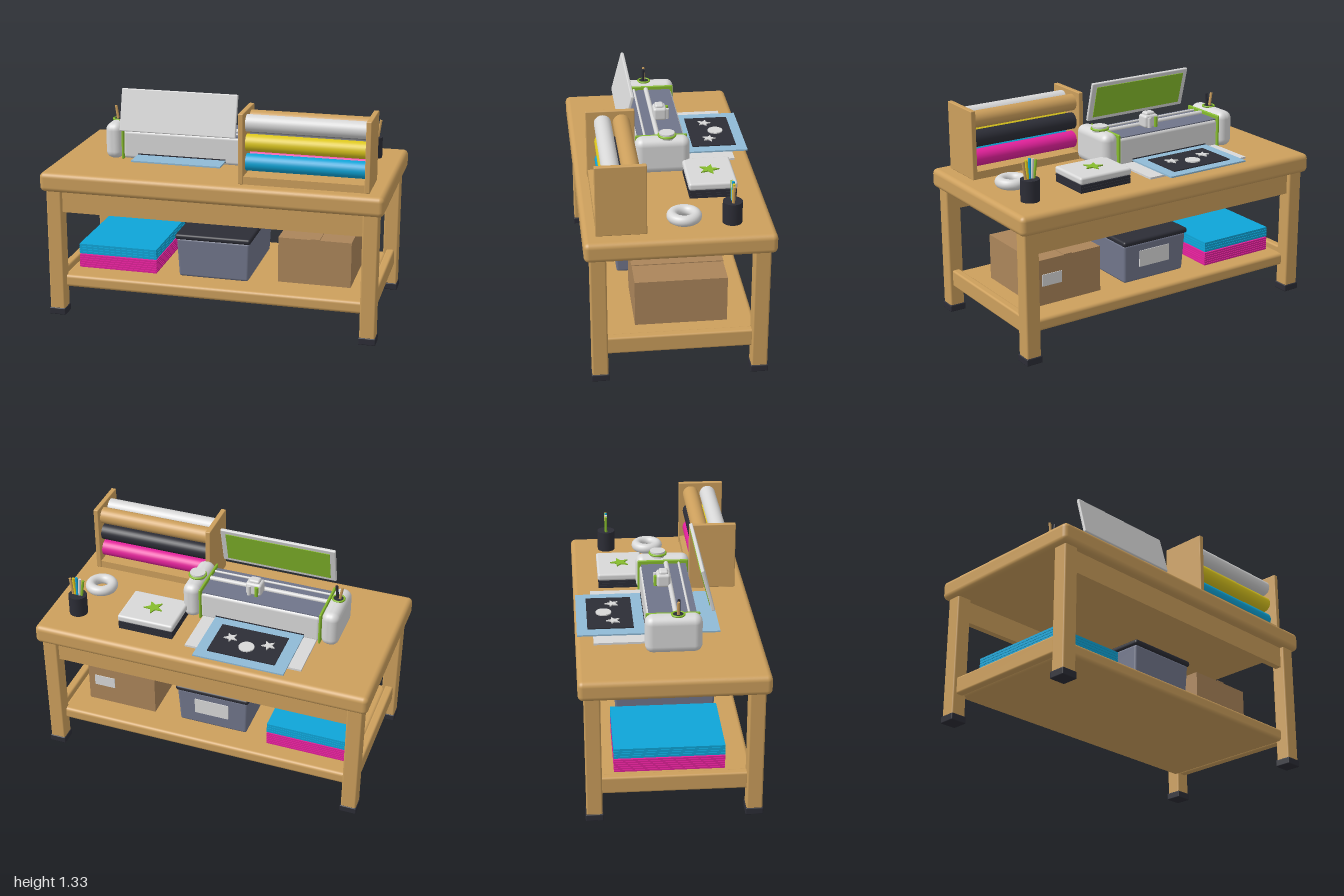
import * as THREE from 'three';
import { RoundedBoxGeometry } from 'three/addons/geometries/RoundedBoxGeometry.js';

const material = (name, color) => {
  const m = new THREE.MeshStandardMaterial({ color });
  m.name = name;
  return m;
};

export function createModel() {
  const wood = material('wood', 0xcc9f5c);
  const dark = material('charcoal', 0x2c2d36);
  const light = material('lightGrey', 0xd8d8d8);
  const green = material('green', 0x86bc2c);
  const yellow = material('yellow', 0xdec81e);
  const cyan = material('cyan', 0x0ea5d8);
  const magenta = material('magenta', 0xe3219b);
  const blue = material('matBlue', 0x8fbad6);
  const slate = material('slate', 0x70758a);
  const brown = material('cardboard', 0xab855a);

  const root = new THREE.Group();
  root.name = 'craftTable';
  let target = root;
  const group = (name) => {
    target = new THREE.Group();
    target.name = name;
    root.add(target);
    return target;
  };
  const add = (name, geometry, mat, x = 0, y = 0, z = 0) => {
    const mesh = new THREE.Mesh(geometry, mat);
    mesh.name = name;
    mesh.position.set(x, y, z);
    target.add(mesh);
    return mesh;
  };
  // Boxes are given by their ranges along x, y and z; r rounds the edges
  const box = (name, mat, [x0, x1], [y0, y1], [z0, z1], r = 0) => {
    const s = [x1 - x0, y1 - y0, z1 - z0];
    const g = r ? new RoundedBoxGeometry(...s, 4, r) : new THREE.BoxGeometry(...s);
    return add(name, g, mat, (x0 + x1) / 2, (y0 + y1) / 2, (z0 + z1) / 2);
  };
  const disc = (name, mat, r, h, x, y, z) =>
    add(name, new THREE.CylinderGeometry(r, r, h, 32), mat, x, y, z);
  const ring = (name, mat, R, r, x, y, z) => {
    const g = new THREE.TorusGeometry(R, r, 16, 40).rotateX(Math.PI / 2);
    return add(name, g, mat, x, y, z);
  };
  const star = (name, mat, R, x, y, z) => {
    const pts = [];
    for (let i = 0; i < 10; i++) {
      const a = Math.PI / 2 + (i * Math.PI) / 5, q = i % 2 ? R * 0.42 : R;
      pts.push(new THREE.Vector2(q * Math.cos(a), q * Math.sin(a)));
    }
    const g = new THREE.ExtrudeGeometry(new THREE.Shape(pts), { depth: 0.008, bevelEnabled: false });
    return add(name, g.rotateX(-Math.PI / 2), mat, x, y, z);
  };
  const pen = (mat, h, x, y, z, lean) => {
    const m = add('pen', new THREE.CylinderGeometry(0.008, 0.008, h, 12), mat, x, y, z);
    m.rotation.z = lean;
    return m;
  };

  // Table frame
  group('table');
  box('tableTop', wood, [-1, 1], [0.765, 0.88], [-0.52, 0.52], 0.03);
  box('lowerShelf', wood, [-0.9, 0.9], [0.16, 0.235], [-0.44, 0.44], 0.02);
  for (const s of [-1, 1]) {
    const rail = box('apron', wood, [-0.89, 0.89], [0.635, 0.78], [-0.02, 0.02]);
    rail.position.z = s * 0.445;
    box('endRail', wood, [s * 0.925 - 0.025, s * 0.925 + 0.025], [0.16, 0.262], [-0.41, 0.41], 0.012);
    for (const t of [-1, 1]) {
      const x = s * 0.925, z = t * 0.445;
      box('leg', wood, [x - 0.045, x + 0.045], [0.02, 0.78], [z - 0.045, z + 0.045], 0.01);
      box('foot', dark, [x - 0.05, x + 0.05], [0, 0.042], [z - 0.05, z + 0.05], 0.006);
    }
  }

  // Stacked coloured sheets on the shelf
  group('sheetStack');
  for (let i = 0; i < 6; i++) {
    const y = 0.236 + i * 0.0136;
    box('lowerSheet', magenta, [-0.85, -0.37], [y, y + 0.011], [-0.33, 0.29]);
  }
  for (let i = 0; i < 4; i++) {
    const y = 0.322 + i * 0.0157;
    box('upperSheet', cyan, [-0.85, -0.37], [y, y + 0.0135], [-0.33, 0.29]);
  }

  // Storage bin, tapered towards its base
  group('storageBin');
  const bin = box('binBody', slate, [-0.24, 0.2], [0.235, 0.475], [-0.305, 0.305], 0.015);
  const bp = bin.geometry.attributes.position;
  for (let i = 0; i < bp.count; i++) {
    const k = 0.975 + 0.025 * (bp.getY(i) / 0.12);
    bp.setX(i, bp.getX(i) * k);
    bp.setZ(i, bp.getZ(i) * k);
  }
  box('binLid', dark, [-0.247, 0.207], [0.47, 0.503], [-0.316, 0.316], 0.014);
  box('binLabel', light, [-0.12, 0.09], [0.325, 0.425], [-0.306, -0.298]);

  // Cardboard box
  group('cardboardBox');
  box('carton', brown, [0.355, 0.785], [0.235, 0.508], [-0.285, 0.235]);
  box('cartonTape', brown, [0.545, 0.6], [0.505, 0.513], [-0.287, 0.237]);
  box('cartonLabel', light, [0.615, 0.745], [0.35, 0.42], [-0.289, -0.282]);

  // Cutting machine
  group('cuttingMachine');
  box('machineBody', light, [-0.605, 0.115], [0.895, 1.065], [-0.125, 0.155], 0.02);
  box('deck', slate, [-0.6, 0.11], [1.06, 1.068], [-0.115, 0.15]);
  for (const [z, r] of [[0.033, 0.014], [0.108, 0.007]]) {
    const g = new THREE.CylinderGeometry(r, r, 0.71, 16).rotateZ(Math.PI / 2);
    add('guideRail', g, light, -0.245, 1.072, z);
  }
  for (const [a, b] of [[-0.715, -0.611], [0.121, 0.225]])
    box('endHousing', light, [a, b], [0.888, 1.104], [-0.143, 0.173], 0.045);
  for (const x of [-0.606, 0.116])
    box('accentBand', green, [x - 0.007, x + 0.007], [0.892, 1.09], [-0.135, 0.165], 0.006);
  for (const z of [-0.126, 0.156])
    box('feedSlot', dark, [-0.515, 0.02], [0.91, 0.93], [z - 0.002, z + 0.002]);
  box('carriage', light, [-0.226, -0.13], [1.065, 1.142], [-0.045, 0.033], 0.015);
  box('carriageCap', light, [-0.21, -0.146], [1.12, 1.158], [-0.03, 0.022], 0.012);
  disc('clampButton', green, 0.011, 0.06, -0.2, 1.1, -0.05);
  disc('clampButton', light, 0.011, 0.06, -0.155, 1.1, -0.05);
  disc('dial', light, 0.045, 0.035, 0.172, 1.112, -0.012);
  ring('dialRing', green, 0.047, 0.007, 0.172, 1.112, -0.012);
  disc('penPocket', dark, 0.032, 0.008, -0.663, 1.103, 0.04);
  ring('penPocketRing', green, 0.034, 0.006, -0.663, 1.105, 0.04);
  pen(wood, 0.09, -0.676, 1.14, 0.04, 0.15);
  pen(dark, 0.09, -0.652, 1.14, 0.045, -0.12);

  // Raised lid, leaning back
  const lid = group('machineLid');
  lid.position.set(-0.2475, 1.205, 0.208);
  lid.rotation.x = -0.26;
  box('lidShell', light, [-0.3475, 0.3475], [-0.125, 0.125], [-0.01, 0.01], 0.006);
  box('lidLining', green, [-0.315, 0.315], [-0.1, 0.1], [-0.014, -0.007]);

  // Cutting mat with a sheet of cut shapes
  group('cuttingMat');
  box('rearTray', light, [-0.59, 0.1], [0.897, 0.909], [-0.42, -0.12]);
  box('mat', blue, [-0.515, 0.02], [0.915, 0.924], [-0.51, 0.29]);
  box('cutSheet', dark, [-0.445, -0.045], [0.924, 0.93], [-0.45, -0.19]);
  for (const x of [-0.36, -0.135]) star('cutStar', light, 0.042, x, 0.929, -0.3);
  disc('cutCircle', light, 0.045, 0.008, -0.247, 0.933, -0.353);

  // Card pack with a star on top
  group('cardPack');
  for (let i = 0; i < 3; i++) {
    const y = 0.881 + i * 0.016;
    box('darkCard', dark, [0.2, 0.53], [y, y + 0.0145], [-0.365, -0.1]);
  }
  box('packTop', light, [0.194, 0.535], [0.929, 0.972], [-0.37, -0.095], 0.014);
  star('packStar', green, 0.06, 0.363, 0.971, -0.23);

  // Tape roll
  group('tapeRoll');
  ring('tape', light, 0.066, 0.031, 0.78, 0.912, -0.038);

  // Pen cup
  group('penCup');
  disc('cup', dark, 0.054, 0.125, 0.815, 0.942, -0.296);
  [green, light, cyan, yellow, wood].forEach((mat, i) => {
    const k = i - 2;
    pen(mat, 0.13, 0.815 + k * 0.016, 1.055 - Math.abs(k) * 0.006, -0.296, -k * 0.07);
  });

  // Rack of vinyl rolls
  group('rollRack');
  for (const x of [0.18, 0.895])
    box('rackSide', wood, [x - 0.015, x + 0.015], [0.88, 1.285], [0.175, 0.452], 0.005);
  box('rackBase', wood, [0.18, 0.895], [0.88, 0.925], [0.18, 0.447]);
  const rolls = [[0.357, [cyan, yellow, light]], [0.25, [magenta, dark, wood]]];
  for (const [z, colours] of rolls)
    colours.forEach((mat, i) => {
      const g = new THREE.CylinderGeometry(0.049, 0.049, 0.69, 32).rotateZ(Math.PI / 2);
      add('roll', g, mat, 0.5375, 0.987 + i * 0.1135, z);
    });

  return root;
}
